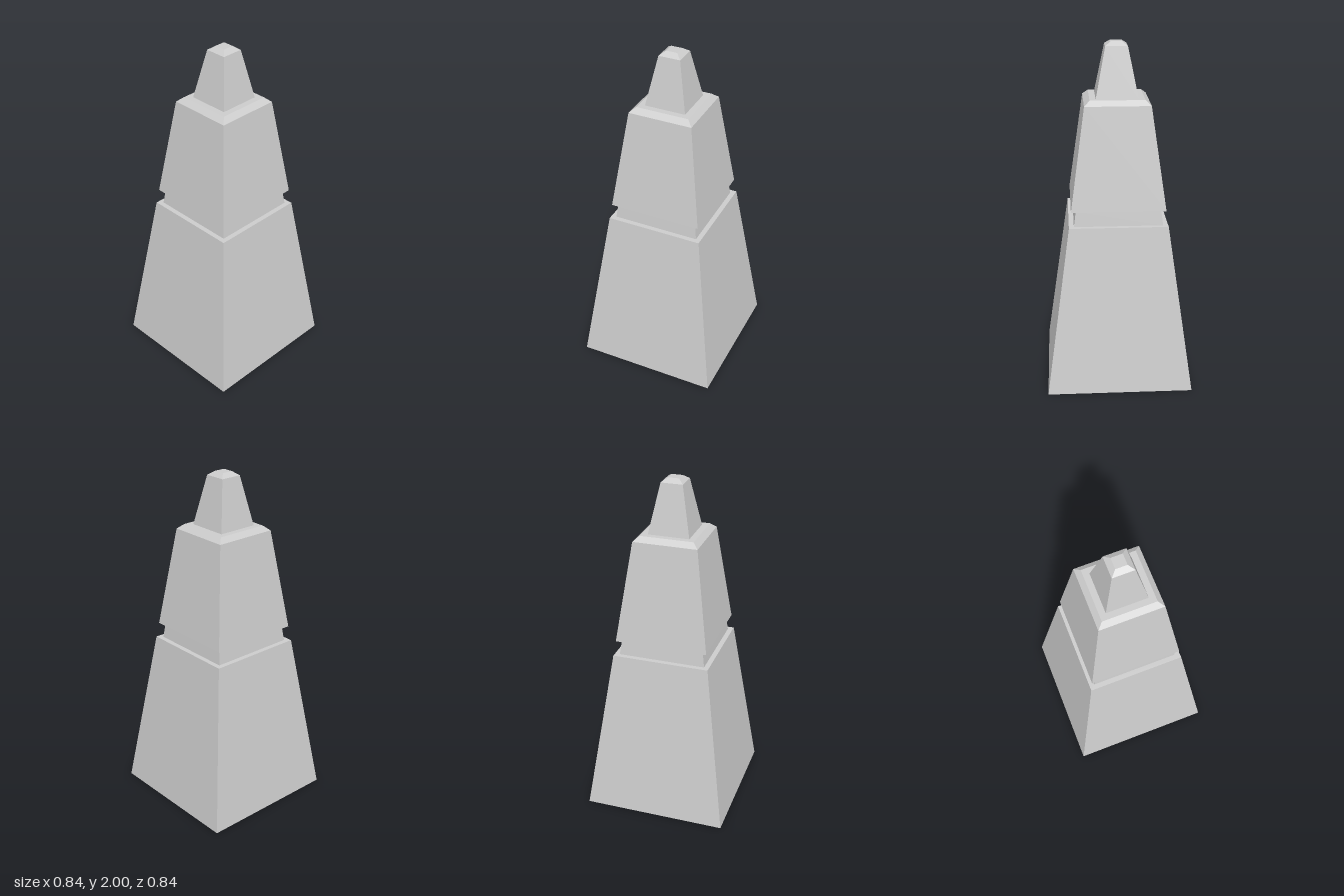
import * as THREE from 'three';

const material = new THREE.MeshStandardMaterial({ color: 0xcccccc, flatShading: true });

// Square tapered block: profile is [half width, height] pairs from bottom to top
function squareBlock(name, profile) {
  const points = profile.map(([half, y]) => new THREE.Vector2(half * Math.SQRT2, y));
  const geometry = new THREE.LatheGeometry(points, 4, Math.PI / 4).toNonIndexed();
  geometry.computeVertexNormals();
  const mesh = new THREE.Mesh(geometry, material);
  mesh.name = name;
  return mesh;
}

export function createModel() {
  const group = new THREE.Group();
  group.name = 'steppedObelisk';
  group.add(
    // Tapered pedestal with a narrow ledge on top
    squareBlock('base', [[0, 0], [0.422, 0], [0.285, 0.98], [0.256, 0.98]]),
    // Recessed band between the two large blocks
    squareBlock('neck', [[0.256, 0.98], [0.244, 1.07]]),
    // Overhanging shaft with a chamfered shoulder
    squareBlock('shaft', [[0.244, 1.07], [0.272, 1.07], [0.189, 1.662], [0.157, 1.69], [0.121, 1.69]]),
    // Small spire with a chamfered flat tip
    squareBlock('spire', [[0.121, 1.69], [0.064, 1.977], [0.033, 2], [0, 2]]),
  );
  return group;
}
